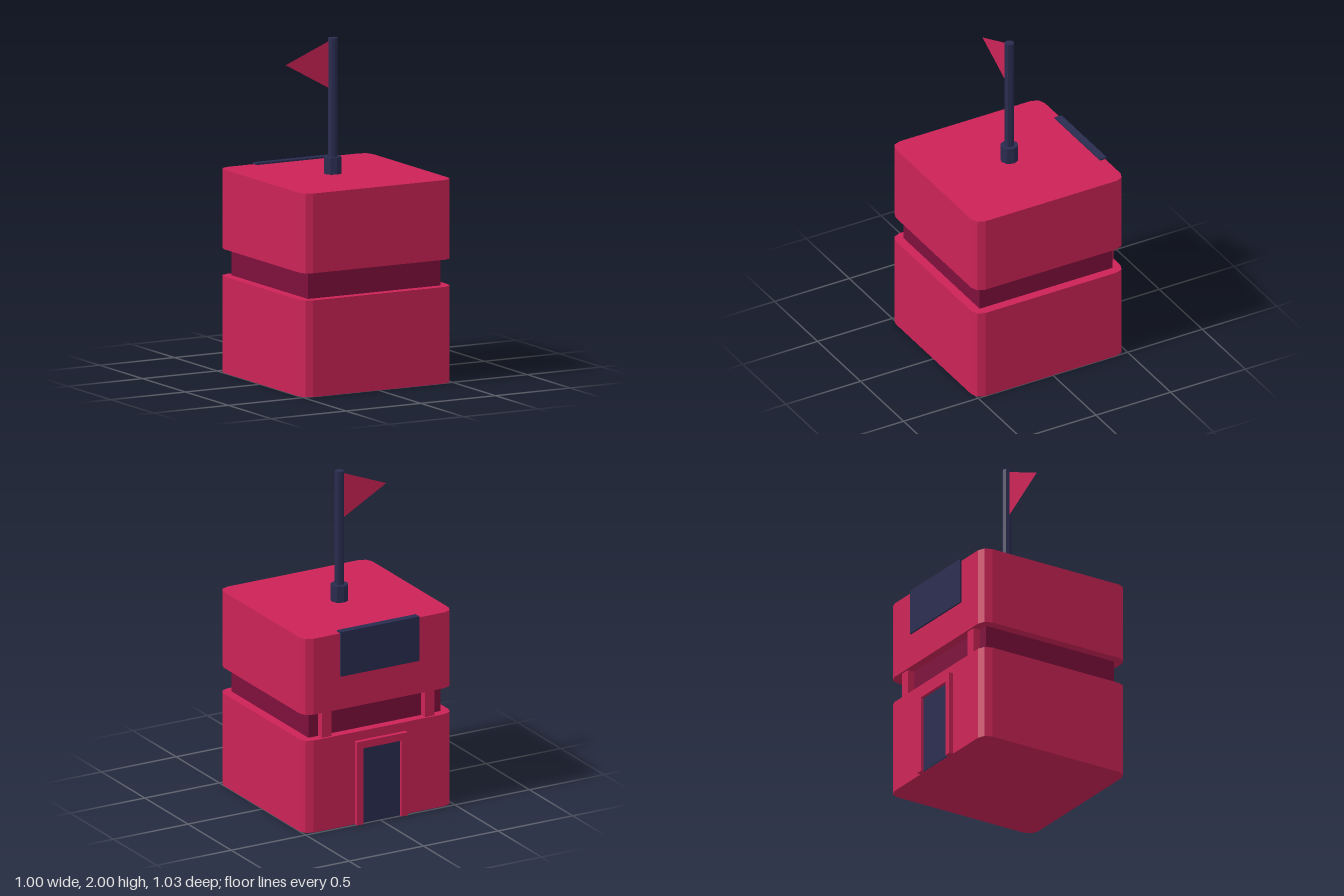
import * as THREE from 'three';

export function createModel() {
  const model = new THREE.Group();
  const crimson = new THREE.MeshStandardMaterial({ color: 0xcc2357 });
  const maroon = new THREE.MeshStandardMaterial({ color: 0x7e0f3b });
  const navy = new THREE.MeshStandardMaterial({ color: 0x2a2c50 });
  const flagCloth = new THREE.MeshStandardMaterial({ color: 0xcc2357, side: THREE.DoubleSide });
  crimson.name = 'crimson';
  maroon.name = 'maroon';
  navy.name = 'navy';
  flagCloth.name = 'flag crimson';

  const add = (name, geometry, material) => {
    const mesh = new THREE.Mesh(geometry, material);
    mesh.name = name;
    model.add(mesh);
    return mesh;
  };
  // Box given by its minimum and maximum on each axis
  const box = (name, material, x0, x1, y0, y1, z0, z1) =>
    add(name, new THREE.BoxGeometry(x1 - x0, y1 - y0, z1 - z0), material)
      .position.set((x0 + x1) / 2, (y0 + y1) / 2, (z0 + z1) / 2);

  // Square outline with two-step corners
  const outline = new THREE.Shape();
  const h = 0.5, r = 0.06;
  const points = [];
  for (let corner = 0; corner < 4; corner++) {
    const cx = (corner === 0 || corner === 3 ? 1 : -1) * (h - r);
    const cy = (corner < 2 ? 1 : -1) * (h - r);
    for (let i = 0; i <= 2; i++) {
      const a = (corner + i / 2) * Math.PI / 2;
      points.push(new THREE.Vector2(cx + r * Math.cos(a), cy + r * Math.sin(a)));
    }
  }
  outline.setFromPoints(points);

  const block = (name, y0, y1) => {
    const geometry = new THREE.ExtrudeGeometry(outline, { depth: y1 - y0, bevelEnabled: false });
    geometry.rotateX(-Math.PI / 2);
    geometry.translate(0, y0, 0.013);
    add(name, geometry, crimson);
  };

  // Main body: two blocks around a recessed band
  block('lowerBlock', 0, 0.57);
  block('upperBlock', 0.73, 1.2);
  box('recessedBand', maroon, -0.443, 0.443, 0.56, 0.74, -0.432, 0.458);

  // Small posts across the gap at the back
  for (const side of [-1, 1]) {
    const x = side * 0.345;
    box(side > 0 ? 'leftPost' : 'rightPost', crimson, x - 0.032, x + 0.032, 0.56, 0.74, -0.475, -0.425);
  }

  // Back sign panel and door
  box('signPanel', navy, -0.264, 0.262, 0.935, 1.21, -0.497, -0.452);
  box('door', navy, -0.136, 0.122, 0.002, 0.47, -0.493, -0.484);
  box('rightJamb', crimson, -0.177, -0.136, 0, 0.515, -0.513, -0.48);
  box('leftJamb', crimson, 0.122, 0.163, 0, 0.515, -0.513, -0.48);
  box('lintel', crimson, -0.136, 0.122, 0.47, 0.515, -0.513, -0.48);

  // Flagpole with its socket
  const poleX = -0.013, poleZ = -0.003;
  add('poleSocket', new THREE.CylinderGeometry(0.053, 0.053, 0.1, 8).toNonIndexed(), navy)
    .position.set(poleX, 1.25, poleZ);
  add('flagPole', new THREE.CylinderGeometry(0.028, 0.028, 0.8, 8).toNonIndexed(), navy)
    .position.set(poleX, 1.6, poleZ);
  for (const mesh of model.children.slice(-2)) mesh.geometry.computeVertexNormals();

  // Pennant
  const pennant = new THREE.Shape([
    new THREE.Vector2(-0.03, 1.7),
    new THREE.Vector2(-0.03, 1.985),
    new THREE.Vector2(-0.327, 1.865),
  ]);
  add('pennant', new THREE.ShapeGeometry(pennant), flagCloth).position.z = -0.004;

  return model;
}
